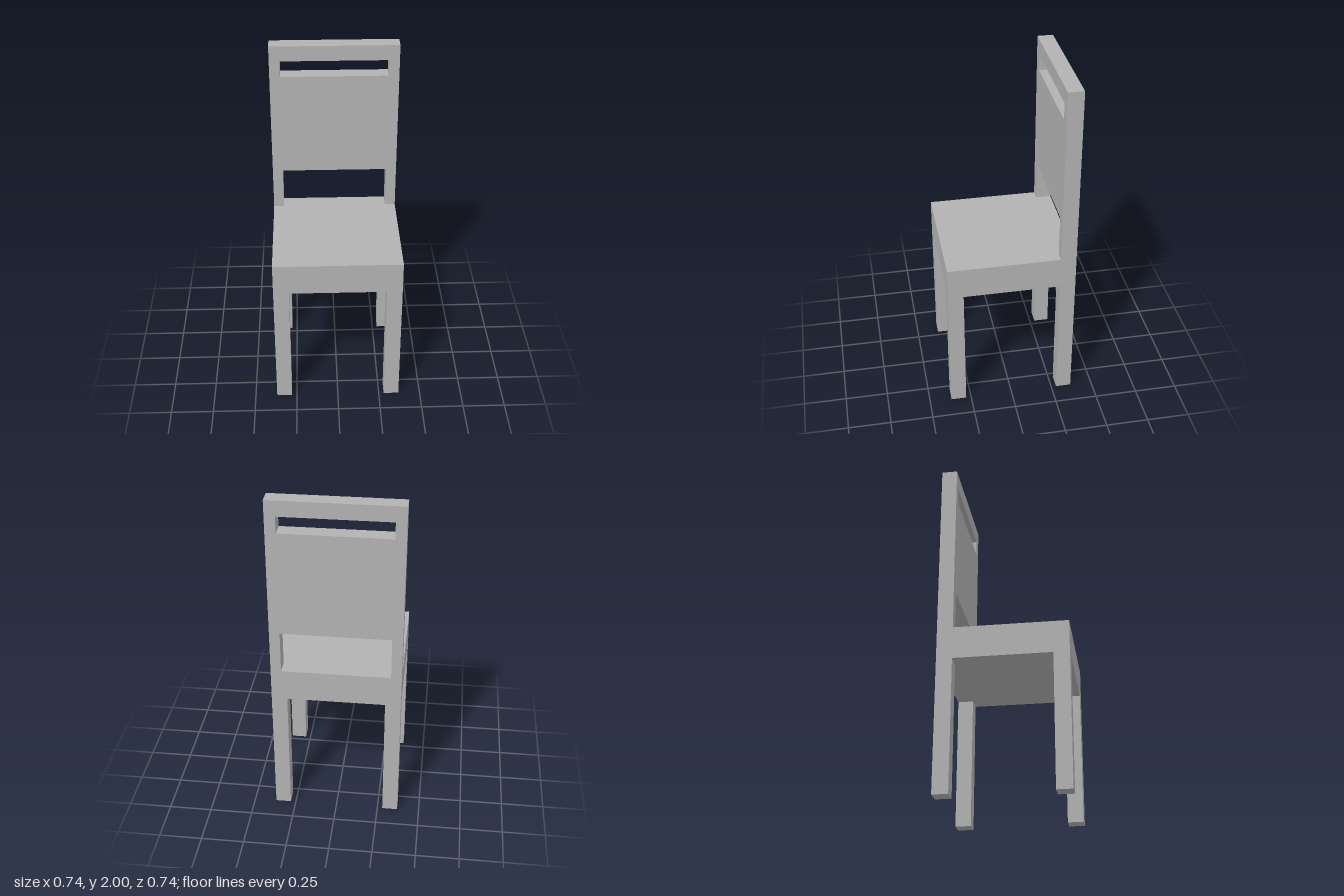
import * as THREE from 'three';

const HALF = 0.37;       // half the width and depth of the chair
const POST = 0.09;       // thickness of legs and backrest
const SEAT_BOTTOM = 0.77;
const SEAT_TOP = 0.957;

export function createModel() {
  const chair = new THREE.Group();
  chair.name = 'chair';
  const grey = new THREE.MeshStandardMaterial({ color: 0xb2b2b2 });
  grey.name = 'plain grey';

  const add = (name, geometry, x, y, z) => {
    const mesh = new THREE.Mesh(geometry, grey);
    mesh.name = name;
    mesh.position.set(x, y, z);
    chair.add(mesh);
  };

  // Thick square seat
  add('seat', new THREE.BoxGeometry(2 * HALF, SEAT_TOP - SEAT_BOTTOM, 2 * HALF),
    0, (SEAT_TOP + SEAT_BOTTOM) / 2, 0);

  // Four square legs, flush with the seat corners
  const leg = new THREE.BoxGeometry(POST, SEAT_BOTTOM, POST);
  const reach = HALF - POST / 2;
  for (const [side, sx] of [['Left', 1], ['Right', -1]]) {
    for (const [end, sz] of [['front', 1], ['back', -1]]) {
      add(`${end}${side}Leg`, leg, sx * reach, SEAT_BOTTOM / 2, sz * reach);
    }
  }

  // Backrest: open below between two posts, with a handle slot near the top
  const inner = 0.31;
  const outline = new THREE.Shape([
    [-HALF, SEAT_TOP], [-inner, SEAT_TOP], [-inner, 1.205], [inner, 1.205],
    [inner, SEAT_TOP], [HALF, SEAT_TOP], [HALF, 2], [-HALF, 2],
  ].map(([x, y]) => new THREE.Vector2(x, y)));
  outline.holes.push(new THREE.Path([
    [-inner, 1.815], [-inner, 1.91], [inner, 1.91], [inner, 1.815],
  ].map(([x, y]) => new THREE.Vector2(x, y))));
  add('backrest', new THREE.ExtrudeGeometry(outline, { depth: POST, bevelEnabled: false }),
    0, 0, -HALF);

  return chair;
}
